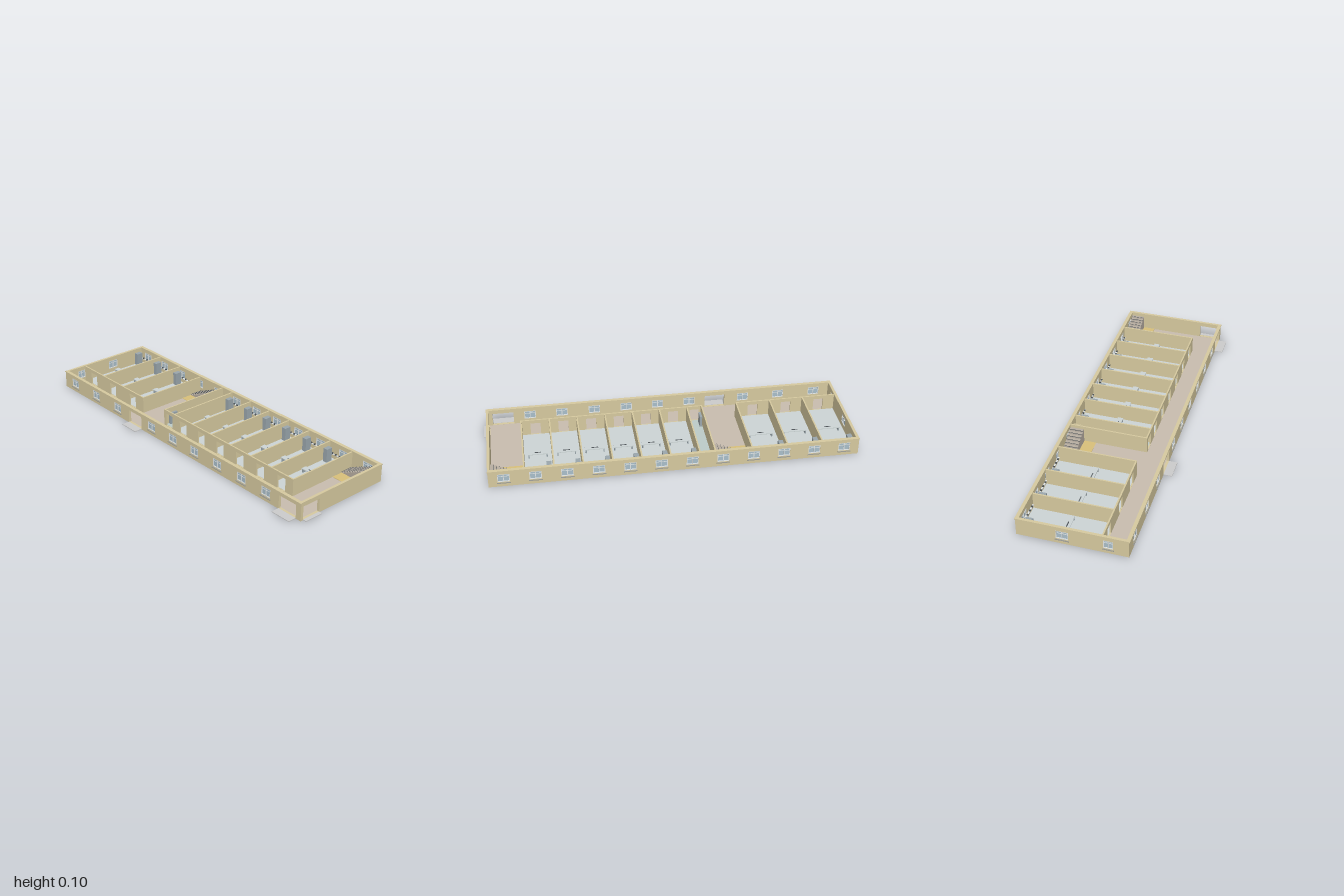
import * as THREE from 'three';

const H = 0.1, T = 0.015;              // outer wall height and thickness
const X0 = -0.995, X1 = 0.98, Z0 = -0.307, Z1 = 0.267;

const mat = (color) => new THREE.MeshStandardMaterial({ color });
const M = {
  wall: mat(0xd6c99f), hall: mat(0xc8bcae), room: mat(0xccd4d5), wet: mat(0xbccbc8),
  glass: mat(0xaabfca), frame: mat(0xe2e6e6), sill: mat(0x9a9a94), steel: mat(0x9aa6ac),
  slab: mat(0xc4c4c4), mat: mat(0xd8c07a), dark: mat(0x50565a), stair: mat(0xb8aea2),
};

// Box given by its minimum and maximum corners
function box(parent, name, material, x0, x1, y0, y1, z0, z1) {
  const m = new THREE.Mesh(new THREE.BoxGeometry(x1 - x0, y1 - y0, z1 - z0), material);
  m.position.set((x0 + x1) / 2, (y0 + y1) / 2, (z0 + z1) / 2);
  m.name = name;
  parent.add(m);
  return m;
}

// Wall along local x from a to b with rectangular holes [x0, x1, y0, y1]
function wall(parent, name, a, b, height, thick, holes) {
  const rect = (P, x0, x1, y0, y1) => {
    const p = new P();
    p.moveTo(x0, y0); p.lineTo(x1, y0); p.lineTo(x1, y1); p.lineTo(x0, y1); p.closePath();
    return p;
  };
  const shape = rect(THREE.Shape, a, b, 0, height);
  for (const h of holes) shape.holes.push(rect(THREE.Path, ...h));
  const g = new THREE.Group();
  g.name = name;
  const m = new THREE.Mesh(new THREE.ExtrudeGeometry(shape, { depth: thick, bevelEnabled: false }), M.wall);
  m.name = name + 'Body';
  g.add(m);
  parent.add(g);
  return g;
}

const WIN_Y0 = 0.028, WIN_Y1 = 0.077;
const winHole = (c, w = 0.064) => [c - w / 2, c + w / 2, WIN_Y0, WIN_Y1];
const doorHole = (a, b) => [a, b, 0.003, 0.077];

// Two-leaf window with transom bar; outward is +1 or -1 along local z
function addWindow(parent, c, outward, w = 0.064) {
  const g = new THREE.Group();
  g.name = 'window';
  const a = c - w / 2, b = c + w / 2, f = 0.004, z0 = 0.001, z1 = T - 0.001;
  box(g, 'glass', M.glass, a, b, WIN_Y0, WIN_Y1, 0.005, 0.01);
  for (const x of [a, c - f / 2, b - f]) box(g, 'frameUpright', M.frame, x, x + f, WIN_Y0, WIN_Y1, z0, z1);
  for (const y of [WIN_Y0, WIN_Y1 - f]) box(g, 'frameRail', M.frame, a, b, y, y + f, z0, z1);
  box(g, 'transom', M.frame, a, b, 0.06, 0.062, 0.003, 0.012);
  const s = outward > 0 ? T : -0.005;
  box(g, 'sill', M.sill, a - 0.004, b + 0.004, 0.021, 0.024, s, s + 0.005);
  parent.add(g);
}

// Straight flight rising toward +x
function stairs(parent, x0, x1) {
  const g = new THREE.Group(), n = 10, d = (x1 - x0) / n;
  g.name = 'stairs';
  const s = new THREE.Shape();
  s.moveTo(x0, 0.002);
  for (let i = 0; i < n; i++) {
    s.lineTo(x0 + i * d, 0.008 * (i + 1));
    s.lineTo(x0 + (i + 1) * d, 0.008 * (i + 1));
  }
  s.lineTo(x1, 0.002);
  const m = new THREE.Mesh(new THREE.ExtrudeGeometry(s, { depth: 0.075, bevelEnabled: false }), M.stair);
  m.position.z = -0.292;
  m.name = 'flight';
  g.add(m);
  for (let i = 0; i < n; i++) {
    const y = 0.008 * (i + 1);
    box(g, 'nosing', M.dark, x0 + i * d, x0 + i * d + 0.002, y - 0.001, y + 0.001, -0.292, -0.216);
  }
  box(g, 'landingMat', M.mat, x0, x1, 0.002, 0.004, -0.216, -0.15);
  parent.add(g);
}

// Classroom with floor, cabinet, work table and a row of wall fittings
function room(parent, a, b) {
  const g = new THREE.Group(), c = (a + b) / 2, hw = (b - a) * 0.37;
  g.name = 'room';
  box(g, 'roomFloor', M.room, a, b, 0.002, 0.004, -0.292, 0.128);
  box(g, 'cabinet', M.steel, a + 0.008, a + 0.034, 0.004, 0.08, -0.27, -0.232);
  box(g, 'tableTop', M.room, c - hw, c + hw, 0.024, 0.028, -0.094, -0.062);
  for (const s of [-1, 1]) {
    const x = c + s * (hw - 0.006);
    box(g, 'tableLeg', M.steel, x - 0.003, x + 0.003, 0.004, 0.024, -0.092, -0.064);
  }
  box(g, 'tableTray', M.dark, c - 0.018, c + 0.018, 0.028, 0.0295, -0.081, -0.076);
  box(g, 'wallRail', M.frame, a + 0.008, b - 0.008, 0.03, 0.034, -0.292, -0.284);
  for (let i = 0; i < 5; i++) {
    const x = a + (b - a) * (0.15 + i * 0.175);
    box(g, 'fitting', M.dark, x - 0.004, x + 0.004, 0.034, 0.04, -0.29, -0.282);
  }
  parent.add(g);
}

export function createModel() {
  const model = new THREE.Group();
  model.name = 'schoolFloor';

  // Ground slab and entrance steps
  box(model, 'groundFloor', M.hall, X0 + 0.001, X1 - 0.001, 0, 0.002, Z0 + 0.001, Z1 - 0.001);
  const doors = [[-0.37, -0.256], [0.83, 0.947]];
  for (const [a, b] of doors) box(model, 'entranceSlab', M.slab, a, b, 0, 0.004, Z1, 0.313);
  box(model, 'sideSlab', M.slab, X1, 1, 0, 0.004, 0.141, 0.25);

  // Front wall
  const frontWin = [-0.894, -0.683, -0.476, -0.165, 0.017, 0.196, 0.377, 0.56, 0.738];
  const front = wall(model, 'frontWall', X0, X1, H, T,
    [...frontWin.map((c) => winHole(c)), ...doors.map((d) => doorHole(...d))]);
  front.position.z = Z1 - T;
  frontWin.forEach((c) => addWindow(front, c, 1));

  // Back wall
  const backWin = Array.from({ length: 12 }, (_, i) => -0.915 + i * 0.165);
  const back = wall(model, 'backWall', X0, X1, H, T, backWin.map((c) => winHole(c)));
  back.position.z = Z0;
  backWin.forEach((c) => addWindow(back, c, -1));

  // End walls: local x runs along world z, thickness toward -x
  const right = wall(model, 'rightEndWall', Z0 + T, Z1 - T, H, T, [doorHole(0.141, 0.2515)]);
  right.rotation.y = -Math.PI / 2;
  right.position.x = X1;
  const sideWin = [[0.163, 0.05], [-0.07, 0.064]];
  const left = wall(model, 'leftEndWall', Z0 + T, Z1 - T, H, T, sideWin.map((w) => winHole(...w)));
  left.rotation.y = -Math.PI / 2;
  left.position.x = X0 + T;
  sideWin.forEach(([c, w]) => addWindow(left, c, 1, w));

  // Cornice strips along the wall tops
  for (const z of [Z0 - 0.004, Z1]) box(model, 'cornice', M.wall, X0 - 0.002, X1 + 0.002, 0.096, H, z, z + 0.004);

  // Cross partitions
  const cuts = [-0.794, -0.604, -0.412, -0.214, -0.131, 0.024, 0.176, 0.329, 0.484, 0.636, 0.791];
  const p = 0.004;
  for (const x of cuts) box(model, 'partition', M.wall, x - p, x + p, 0.002, 0.097, Z0 + T, 0.129);

  // Rooms between partitions; the two halls and the washroom are skipped here
  const spans = [X0 + T, ...cuts].slice(0, -1).map((x, i) => [i ? x + p : x, cuts[i] - p]);
  spans.forEach(([a, b], i) => { if (i !== 3 && i !== 4) room(model, a, b); });

  // Corridor walls with a doorway per room
  const runs = [[X0 + T, cuts[2] + p, spans.slice(0, 3)], [cuts[3] - p, cuts[10] + p, spans.slice(4)]];
  for (const [a, b, list] of runs) {
    const holes = list.map(([s, e]) => {
      const c = (s + e) / 2, w = Math.min(0.028, (e - s) * 0.35);
      return doorHole(c - w, c + w);
    });
    wall(model, 'corridorWall', a, b, 0.097, 0.008, holes).position.z = 0.128;
  }

  // Washroom
  const [wa, wb] = spans[4];
  box(model, 'washroomFloor', M.wet, wa, wb, 0.002, 0.004, -0.292, 0.128);
  box(model, 'stallDivider', M.wall, (wa + wb) / 2 - 0.002, (wa + wb) / 2 + 0.002, 0.004, 0.07, -0.292, -0.25);
  for (const x of [wa + 0.01, wb - 0.026]) box(model, 'basin', M.frame, x, x + 0.016, 0.004, 0.03, -0.29, -0.27);
  box(model, 'washCabinet', M.steel, wa + 0.003, wa + 0.016, 0.004, 0.07, 0.06, 0.11);

  // Stairs in both halls
  stairs(model, cuts[2] + p, cuts[3] - p);
  stairs(model, cuts[10] + p, X1 - T);
  return model;
}
